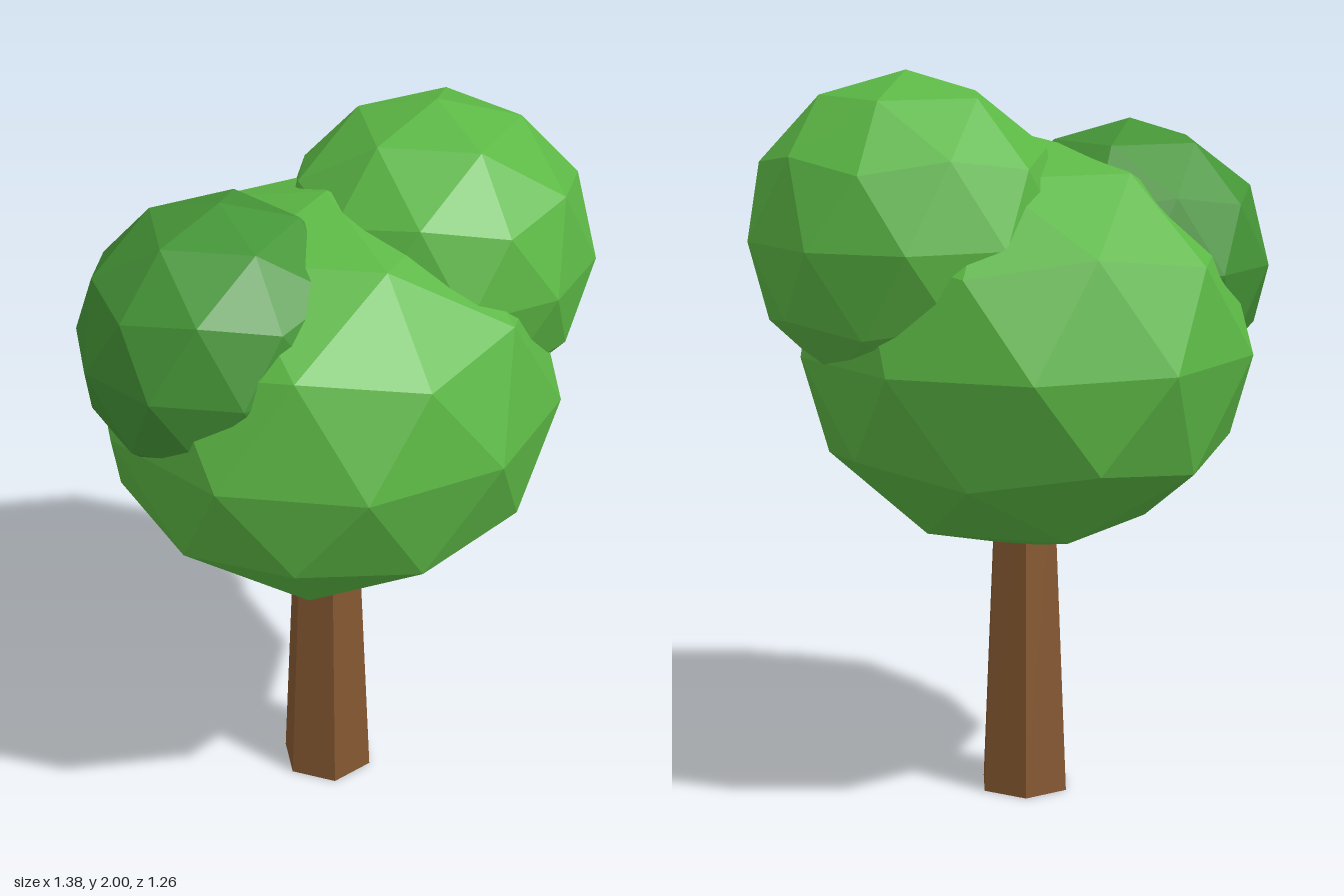
import * as THREE from 'three';

const material = (name, color) => {
  const m = new THREE.MeshStandardMaterial({ color, flatShading: true });
  m.name = name;
  return m;
};

// Give every triangle its own normal for a faceted look
function faceted(geometry) {
  const g = geometry.index ? geometry.toNonIndexed() : geometry;
  g.computeVertexNormals();
  return g;
}

// Icosphere with a vertex at each pole, stretched to the given radius and half height
function foliage(name, mat, radius, halfHeight, position) {
  const g = new THREE.IcosahedronGeometry(1, 1);
  g.rotateX(-Math.atan((1 + Math.sqrt(5)) / 2));
  g.rotateY(Math.PI / 2);
  g.scale(radius, halfHeight, radius);
  const mesh = new THREE.Mesh(faceted(g), mat);
  mesh.name = name;
  mesh.position.set(...position);
  return mesh;
}

export function createModel() {
  const tree = new THREE.Group();
  tree.name = 'tree';

  const bark = material('brown bark', 0x855831);
  const leaf = material('light green leaves', 0x5cb845);
  const darkLeaf = material('dark green leaves', 0x459537);

  // Tapered six-sided trunk, reaching into the crown
  const height = 0.9;
  const trunk = new THREE.Mesh(faceted(new THREE.CylinderGeometry(0.09, 0.131, height, 6)), bark);
  trunk.name = 'trunk';
  trunk.position.set(-0.035, height / 2, 0);
  tree.add(trunk);

  // Slightly flattened main crown with two smaller overlapping clumps
  tree.add(
    foliage('mainCrown', leaf, 0.628, 0.565, [-0.035, 1.255, 0]),
    foliage('leftClump', leaf, 0.431, 0.43, [0.28, 1.57, -0.124]),
    foliage('rightClump', darkLeaf, 0.388, 0.386, [-0.321, 1.47, 0.093]),
  );
  return tree;
}
